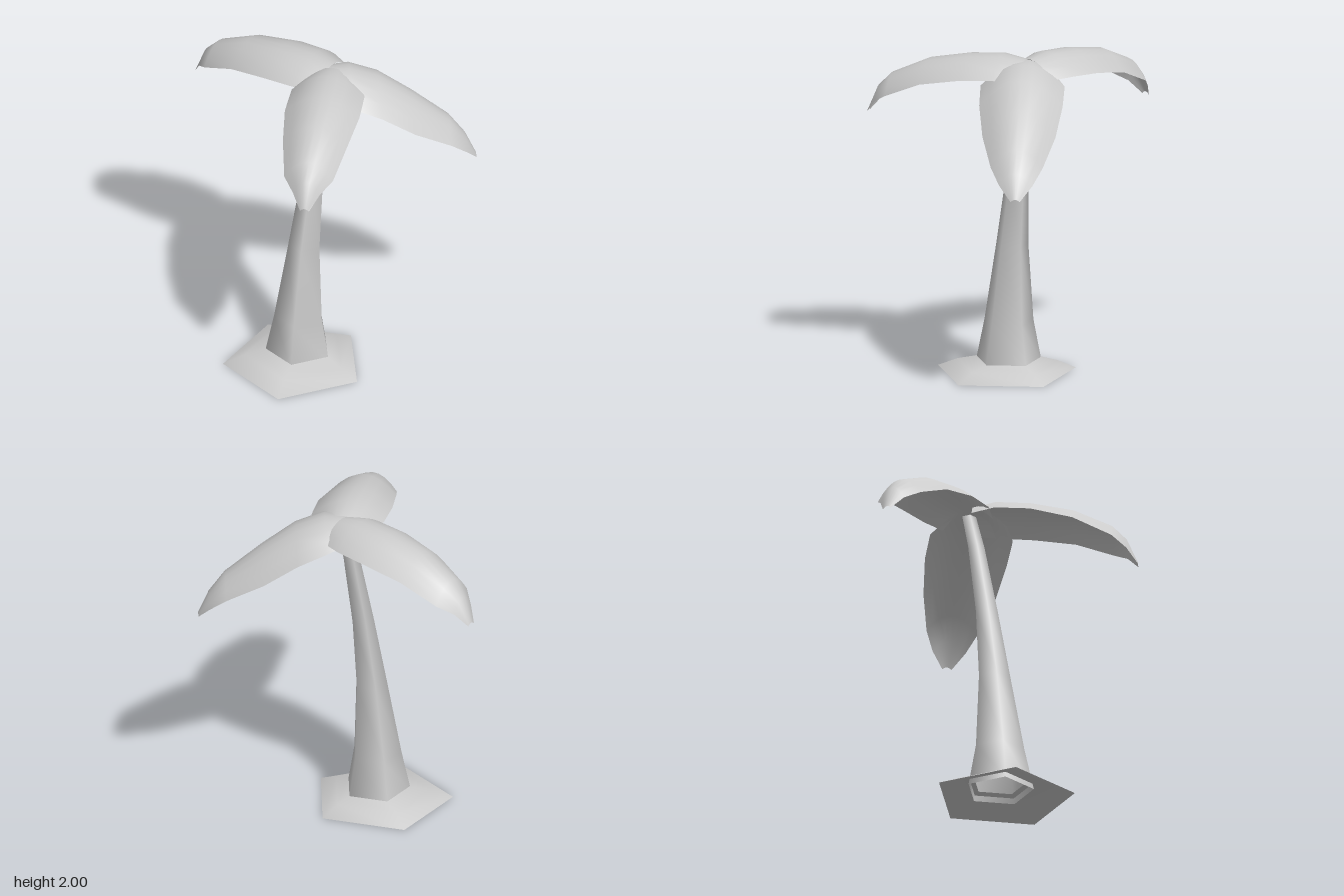
import * as THREE from 'three';

const material = new THREE.MeshStandardMaterial({ color: 0xcccccc, side: THREE.DoubleSide });

// Smooth surface through rows of points; closed rows wrap around.
function loft(name, rows, closed) {
  const n = rows[0].length, index = [];
  for (let r = 0; r < rows.length - 1; r++) {
    for (let i = 0; i < (closed ? n : n - 1); i++) {
      const j = (i + 1) % n;
      const a = r * n + i, b = r * n + j, c = a + n, d = b + n;
      index.push(a, c, b, b, c, d);
    }
  }
  const geometry = new THREE.BufferGeometry();
  geometry.setAttribute('position', new THREE.Float32BufferAttribute(rows.flat(2), 3));
  geometry.setIndex(index);
  geometry.computeVertexNormals();
  const mesh = new THREE.Mesh(geometry, material);
  mesh.name = name;
  return mesh;
}

// Five-sided ring with one corner pointing to the back.
function ring(y, radius, z) {
  return Array.from({ length: 5 }, (_, i) => {
    const a = (i / 5) * Math.PI * 2;
    return [0.142 + radius * Math.sin(a), y, z - radius * Math.cos(a)];
  });
}

// Arched leaf; each station is [distance, ridge height, half width, edge drop].
function leaf(name, [hx, hz], [dx, dz], stations) {
  const rows = stations.map(([s, y, w, drop]) => {
    const row = [];
    for (let i = 0; i <= 8; i++) {
      const t = i / 4 - 1;
      row.push([hx + dx * s - dz * w * t, y - drop * t * t, hz + dz * s + dx * w * t]);
    }
    return row;
  });
  return loft(name, rows.reverse(), false);
}

export function createModel() {
  const group = new THREE.Group();
  group.name = 'palmTree';

  // Flared, hollow foot
  group.add(loft('foot', [
    ring(0.1, 0.17, 0.2), ring(0.08, 0.21, 0.2), ring(0.055, 0.31, 0.22), ring(0, 0.431, 0.23),
  ], true));

  // Leaning, tapered trunk
  group.add(loft('trunk', [
    ring(1.92, 0.044, -0.05), ring(1.7, 0.052, 0.008), ring(1.25, 0.07, 0.093),
    ring(0.8, 0.1, 0.155), ring(0.32, 0.153, 0.195), ring(0.05, 0.207, 0.2),
  ], true));

  // Two level leaves and one that droops lower
  const level = [
    [0, 1.975, 0.17, 0.1], [0.14, 2.0, 0.22, 0.115], [0.35, 1.985, 0.225, 0.115],
    [0.6, 1.94, 0.194, 0.12], [0.83, 1.835, 0.147, 0.115], [0.915, 1.75, 0.08, 0.085],
    [0.98, 1.6, 0.027, 0.015],
  ];
  const drooping = [
    [0, 1.97, 0.19, 0.1], [0.13, 1.97, 0.25, 0.13], [0.3, 1.91, 0.248, 0.15],
    [0.5, 1.775, 0.217, 0.155], [0.72, 1.6, 0.155, 0.11], [0.815, 1.475, 0.1, 0.07],
    [0.88, 1.335, 0.027, 0.015],
  ];
  group.add(leaf('rightLeaf', [0.141, -0.056], [-0.969, 0.245], level));
  group.add(leaf('frontLeaf', [0.165, -0.035], [0.646, 0.763], level));
  group.add(leaf('backLeaf', [0.16, -0.01], [0.576, -0.818], drooping));
  return group;
}
